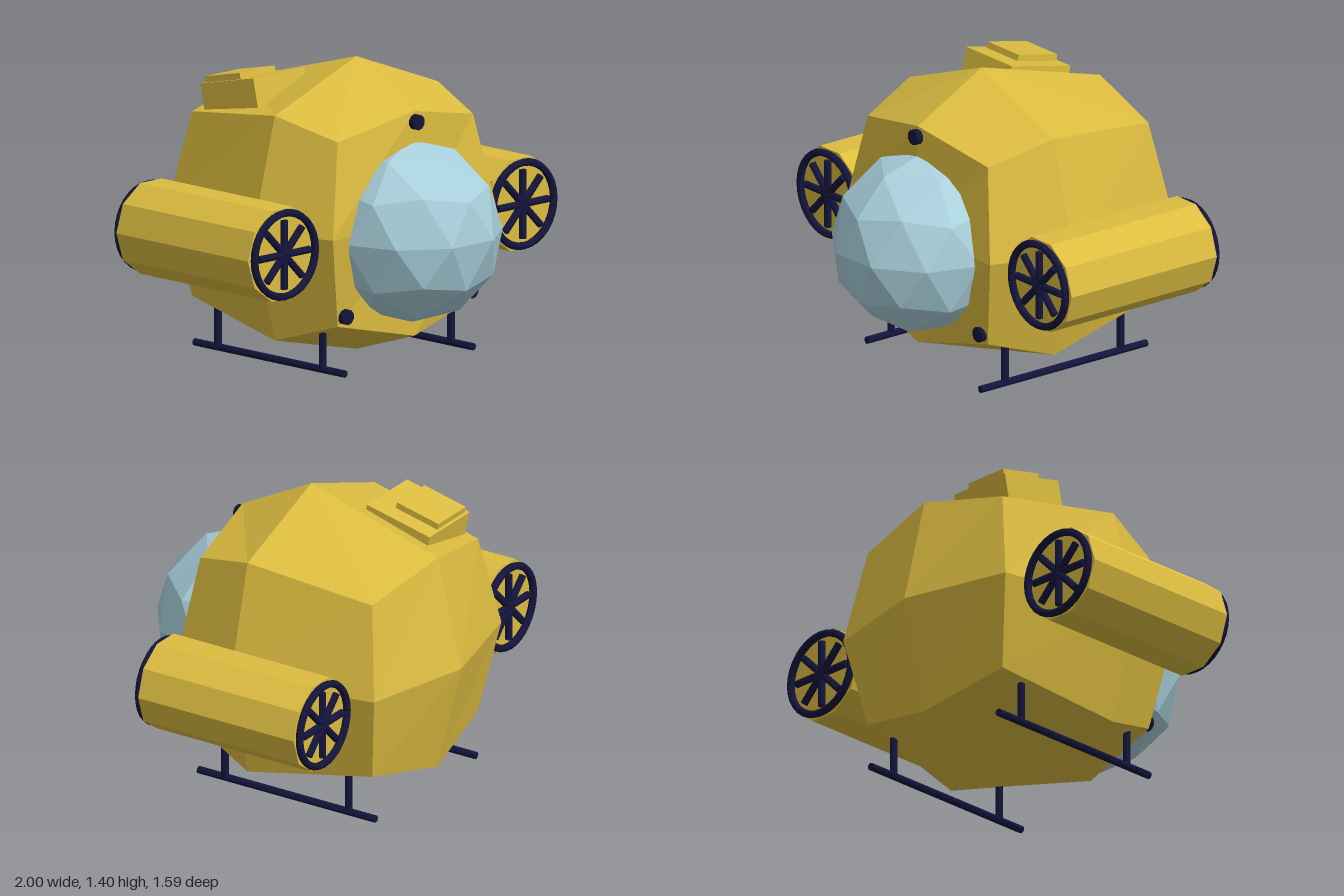
import * as THREE from 'three';

const paint = (color) => new THREE.MeshStandardMaterial({ color, flatShading: true });
const yellow = paint(0xdcbc40);
const glass = paint(0xa9d0dc);
const navy = paint(0x14143c);
const MID = -0.012; // hull sits slightly off the centre line

function add(parent, name, geometry, material, x = 0, y = 0, z = 0) {
  const mesh = new THREE.Mesh(geometry, material);
  mesh.name = name;
  mesh.position.set(x, y, z);
  parent.add(mesh);
  return mesh;
}

// Faceted hull: a 2x2x2 box whose face centres, edges and corners move to set distances
function hullGeometry() {
  const reach = {
    right: [0.67, 0.53, 0.44], left: [0.67, 0.53, 0.44],
    top: [0.73, 0.53, 0.44], bottom: [0.65, 0.53, 0.43],
    front: [0.39, 0.38, 0.32], back: [0.83, 0.7, 0.63],
  };
  const geometry = new THREE.BoxGeometry(2, 2, 2, 2, 2, 2);
  const p = geometry.attributes.position;
  for (let i = 0; i < p.count; i++) {
    const [x, y, z] = [p.getX(i), p.getY(i), p.getZ(i)].map(Math.round);
    const kind = Math.abs(x) + Math.abs(y) + Math.abs(z) - 1;
    p.setXYZ(i,
      x * reach[x > 0 ? 'right' : 'left'][kind],
      y * reach[y > 0 ? 'top' : 'bottom'][kind],
      z * reach[z > 0 ? 'front' : 'back'][kind]);
  }
  geometry.computeVertexNormals();
  return geometry;
}

// Thruster pod with a ring and eight spokes on each end
function thruster(side) {
  const pod = new THREE.Group();
  pod.name = side > 0 ? 'leftThruster' : 'rightThruster';
  pod.position.set(side * 0.775, 0.627, -0.11);
  const shell = new THREE.CylinderGeometry(0.225, 0.225, 0.86, 10);
  shell.rotateY(Math.PI / 2).rotateX(Math.PI / 2);
  add(pod, 'thrusterShell', shell, yellow);
  for (const end of [-1, 1]) {
    add(pod, 'thrusterRing', new THREE.TorusGeometry(0.197, 0.018, 8, 32), navy, 0, 0, end * 0.445);
    for (let i = 0; i < 4; i++) {
      const bar = add(pod, 'fanSpoke', new THREE.CylinderGeometry(0.018, 0.018, 0.325, 8), navy, 0, 0, end * 0.44);
      bar.rotation.z = i * Math.PI / 4;
    }
  }
  return pod;
}

// Skid rail with two struts
function skid(side) {
  const group = new THREE.Group();
  group.name = side > 0 ? 'leftSkid' : 'rightSkid';
  group.position.x = MID + side * 0.417;
  const rail = new THREE.CylinderGeometry(0.018, 0.018, 0.98, 8).rotateX(Math.PI / 2);
  add(group, 'skidRail', rail, navy, 0, 0.018, -0.11);
  for (const z of [0.235, -0.45]) {
    add(group, 'skidStrut', new THREE.CylinderGeometry(0.018, 0.018, 0.25, 8), navy, 0, 0.143, z);
  }
  return group;
}

export function createModel() {
  const model = new THREE.Group();
  model.name = 'submersible';

  add(model, 'hull', hullGeometry(), yellow, MID, 0.67, 0.035);

  // Faceted dome window with one vertex pointing straight up
  const dome = new THREE.IcosahedronGeometry(0.43, 1);
  dome.rotateX(-Math.atan((1 + Math.sqrt(5)) / 2));
  add(model, 'domeWindow', dome, glass, MID, 0.63, 0.39);

  // Lamps around the window
  for (const [x, y, z] of [[0, 1.15, 0.42], [-0.405, 0.285, 0.365], [0.405, 0.285, 0.365]]) {
    const lamp = new THREE.CylinderGeometry(0.037, 0.037, 0.05, 10).rotateX(Math.PI / 2);
    add(model, 'lamp', lamp, navy, MID + x, y, z);
  }

  // Tilted roof hatch, its origin at the middle of the base's upper face
  const hatch = new THREE.Group();
  hatch.name = 'hatch';
  hatch.position.set(-0.267, 1.282, -0.388);
  hatch.rotation.x = -0.22;
  add(hatch, 'hatchBase', new THREE.BoxGeometry(0.333, 0.17, 0.355), yellow, 0, -0.085, 0);
  add(hatch, 'hatchLid', new THREE.BoxGeometry(0.228, 0.03, 0.235), yellow, -0.033, 0.015, -0.045);
  model.add(hatch);

  for (const side of [-1, 1]) model.add(thruster(side), skid(side));
  return model;
}
